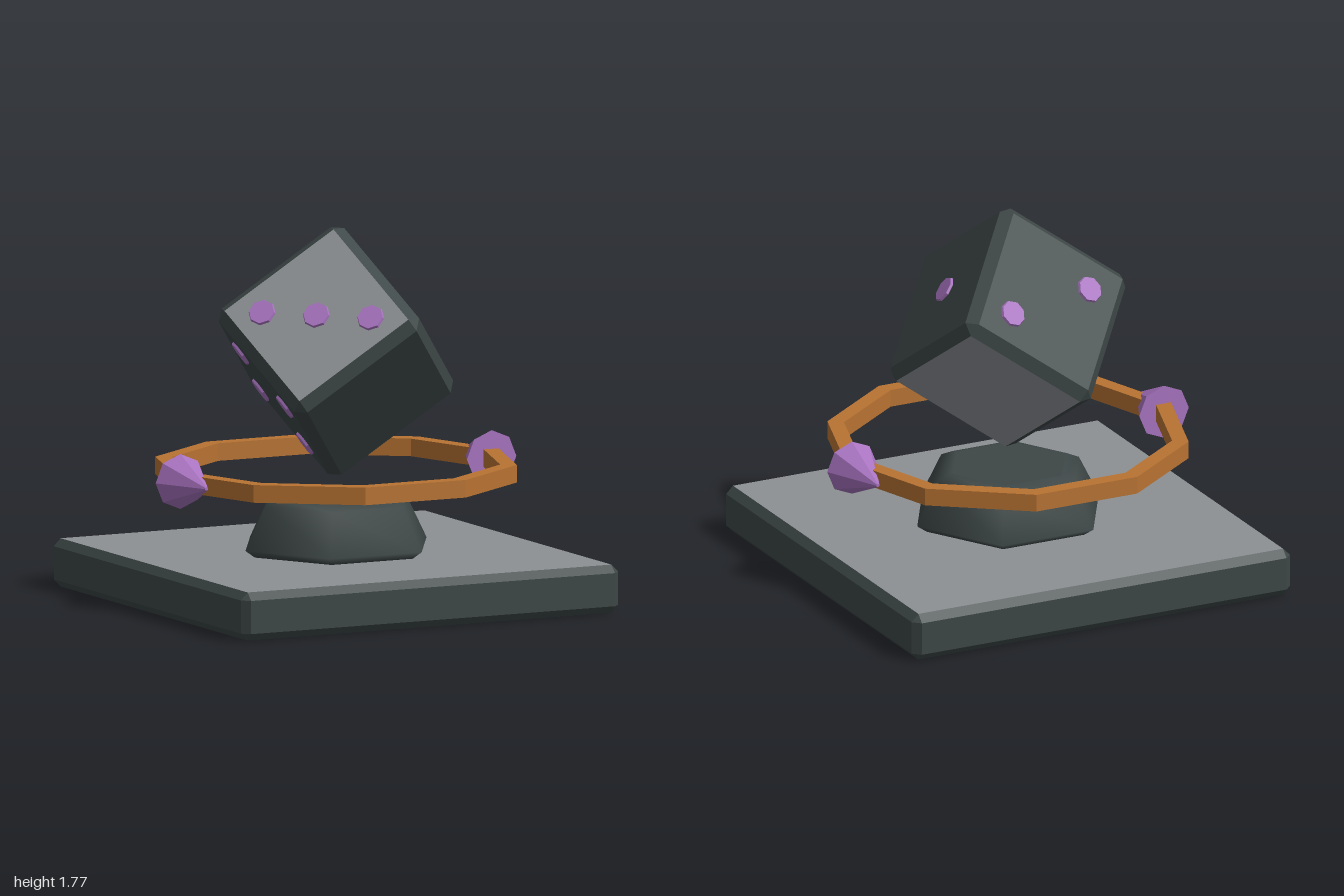
import * as THREE from 'three';
import { ConvexGeometry } from 'three/addons/geometries/ConvexGeometry.js';

const mat = (name, color) => {
  const m = new THREE.MeshStandardMaterial({ color });
  m.name = name;
  return m;
};

export function createModel() {
  const dark = mat('dark slate', 0x3d4646);
  const grey = mat('stone grey', 0x8c9094);
  const copper = mat('copper', 0xb87333);
  const purple = mat('amethyst', 0xa873c0);

  const model = new THREE.Group();
  model.name = 'diceTrophy';

  const add = (parent, name, geometry, material, x = 0, y = 0, z = 0) => {
    const mesh = new THREE.Mesh(geometry, material);
    mesh.name = name;
    mesh.position.set(x, y, z);
    parent.add(mesh);
    return mesh;
  };

  // Faceted normals
  const flat = (geometry) => {
    const g = geometry.toNonIndexed();
    g.computeVertexNormals();
    return g;
  };

  // Chamfered box: top and bottom faces use material 1, all else material 0
  const chamferBox = (hx, hy, hz, b) => {
    const points = [];
    for (const sx of [-1, 1]) for (const sy of [-1, 1]) for (const sz of [-1, 1]) {
      for (const k of [0, 1, 2]) {
        const p = [hx, hy, hz].map((h, i) => (i === k ? h : h - b));
        points.push(new THREE.Vector3(sx * p[0], sy * p[1], sz * p[2]));
      }
    }
    const g = new ConvexGeometry(points);
    const n = g.attributes.normal;
    for (let i = 0; i < n.count; i += 3) g.addGroup(i, 3, Math.abs(n.getY(i)) > 0.99 ? 1 : 0);
    return g;
  };

  // Square base slab
  add(model, 'base', chamferBox(1, 0.115, 1, 0.036), [dark, grey], 0, 0.115, 0);

  // Six-sided pedestal
  const profile = [[0, 0.23], [0.43, 0.23], [0.48, 0.265], [0.375, 0.47], [0.31, 0.5], [0.29, 0.5], [0, 0.5]]
    .map(([r, y]) => new THREE.Vector2(r, y));
  add(model, 'pedestal', new THREE.LatheGeometry(profile, 6, Math.PI / 2), dark);

  // Ten-sided ring
  const section = [[0.783, -0.042], [0.862, -0.042], [0.862, 0.042], [0.783, 0.042], [0.783, -0.042]]
    .map(([r, y]) => new THREE.Vector2(r, y));
  add(model, 'ring', flat(new THREE.LatheGeometry(section, 10, Math.PI / 2)), copper, 0, 0.62, 0);

  // Arrowheads on the ring, pointing round it
  const cone = flat(new THREE.CylinderGeometry(0.008, 0.131, 0.27, 8));
  for (const s of [-1, 1]) {
    const arrow = add(model, s > 0 ? 'leftArrowhead' : 'rightArrowhead', cone, purple, s * 0.825, 0.62, -s * 0.135);
    arrow.rotation.x = -s * Math.PI / 2;
  }

  // Die balanced on one corner
  const half = 0.37;
  const die = new THREE.Group();
  die.name = 'die';
  die.position.y = 1.185;
  const axis = (deg) => {
    const a = THREE.MathUtils.degToRad(deg);
    const r = Math.sqrt(2 / 3);
    return new THREE.Vector3(r * Math.cos(a), Math.sqrt(1 / 3), r * Math.sin(a));
  };
  die.quaternion.setFromRotationMatrix(
    new THREE.Matrix4().makeBasis(axis(15), axis(135), axis(255).negate()));
  add(die, 'dieBody', chamferBox(half, half, half, 0.048), [dark, grey]);

  // Pips: face normal followed by offsets across that face
  const pip = flat(new THREE.CylinderGeometry(0.062, 0.071, 0.024, 8));
  const up = new THREE.Vector3(0, 1, 0);
  const a = 0.19, c = 0.172;
  const faces = [
    ['onePip', [1, 0, 0], [[0, 0, 0]]],
    ['twoPip', [0, 0, -1], [[c, -c, 0], [-c, c, 0]]],
    ['threePip', [0, 1, 0], [[-a, 0, -a], [0, 0, 0], [a, 0, a]]],
    ['fourPip', [-1, 0, 0], [[0, a, a], [0, a, -a], [0, -a, a], [0, -a, -a]]],
  ];
  for (const [name, normal, offsets] of faces) {
    const n = new THREE.Vector3(...normal);
    for (const o of offsets) {
      const mesh = add(die, name, pip, purple);
      mesh.position.set(...o).addScaledVector(n, half);
      mesh.quaternion.setFromUnitVectors(up, n);
    }
  }
  model.add(die);
  return model;
}
